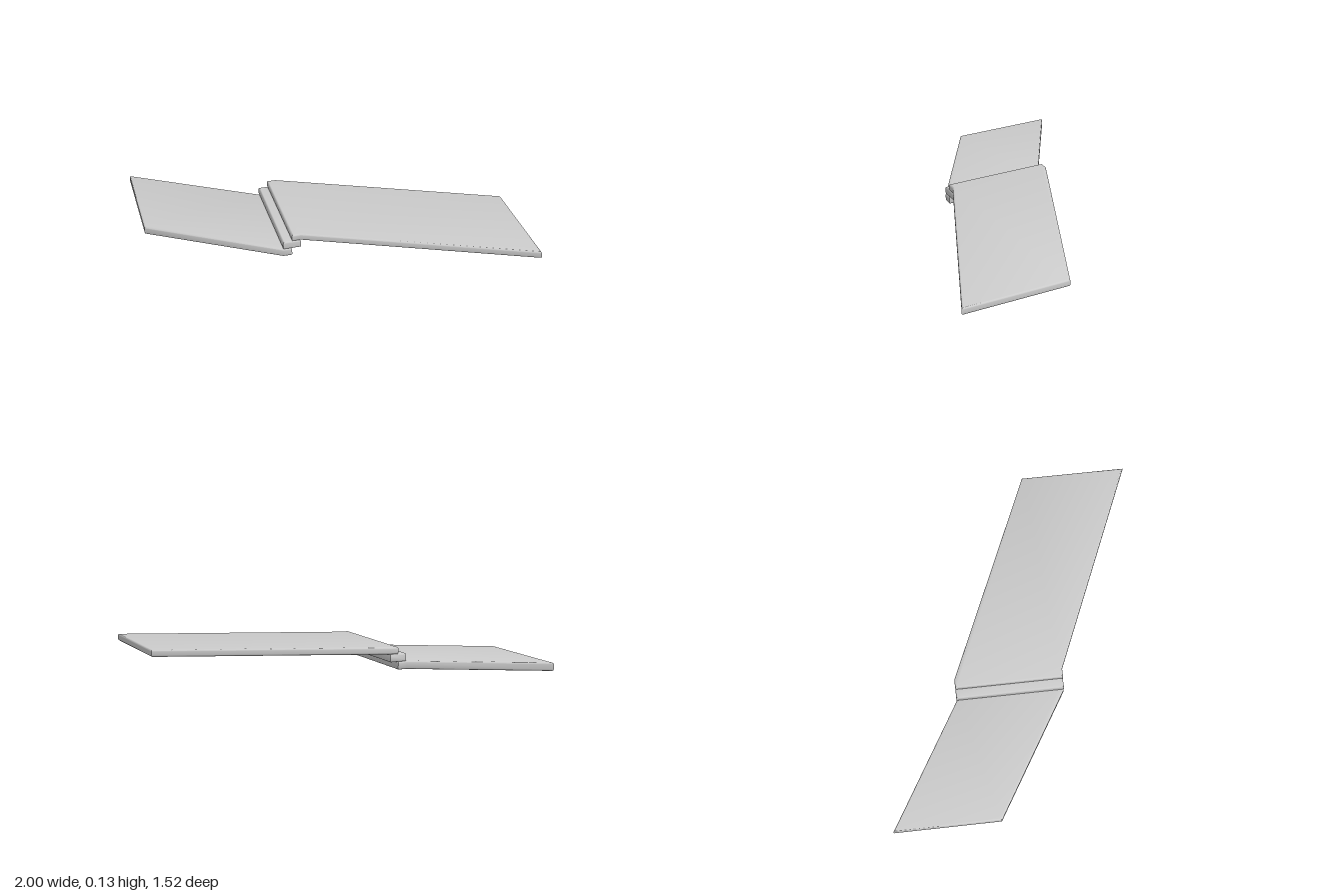
import * as THREE from 'three';
import { toCreasedNormals } from 'three/addons/utils/BufferGeometryUtils.js';

const material = new THREE.MeshStandardMaterial({ color: 0xcccccc });
const BEVEL = 0.01;

// Flat slab with rounded rims; outline is a list of [x, z] plan points.
function slab(name, outline, y0, y1) {
  const shape = new THREE.Shape(outline.map(([x, z]) => new THREE.Vector2(x, -z)));
  const geometry = new THREE.ExtrudeGeometry(shape, {
    depth: y1 - y0 - 2 * BEVEL,
    bevelThickness: BEVEL,
    bevelSize: BEVEL,
    bevelOffset: -BEVEL,
    bevelSegments: 4,
  });
  geometry.rotateX(-Math.PI / 2);
  geometry.translate(0, y0 + BEVEL, 0);
  const mesh = new THREE.Mesh(toCreasedNormals(geometry, 0.6), material);
  mesh.name = name;
  return mesh;
}

export function createModel() {
  const group = new THREE.Group();
  group.name = 'steppedPlates';
  const back = -0.355, front = 0.25; // depth of the stepped joint

  // Short lower plate, slanting towards the back
  group.add(slab('lowerPlate', [
    [-1, -0.765], [-1, -0.175], [-0.3, front], [-0.25, front], [-0.25, back], [-0.3, back],
  ], 0, 0.047));

  // Narrow connecting step between the plates
  group.add(slab('jointStep', [
    [-0.3, back], [-0.3, front], [-0.2, front], [-0.2, back],
  ], 0.045, 0.092));

  // Long upper plate, slanting towards the front
  group.add(slab('upperPlate', [
    [-0.25, back], [-0.25, front], [-0.2, front], [1, 0.76], [1, 0.16], [-0.2, back],
  ], 0.09, 0.13));

  return group;
}
